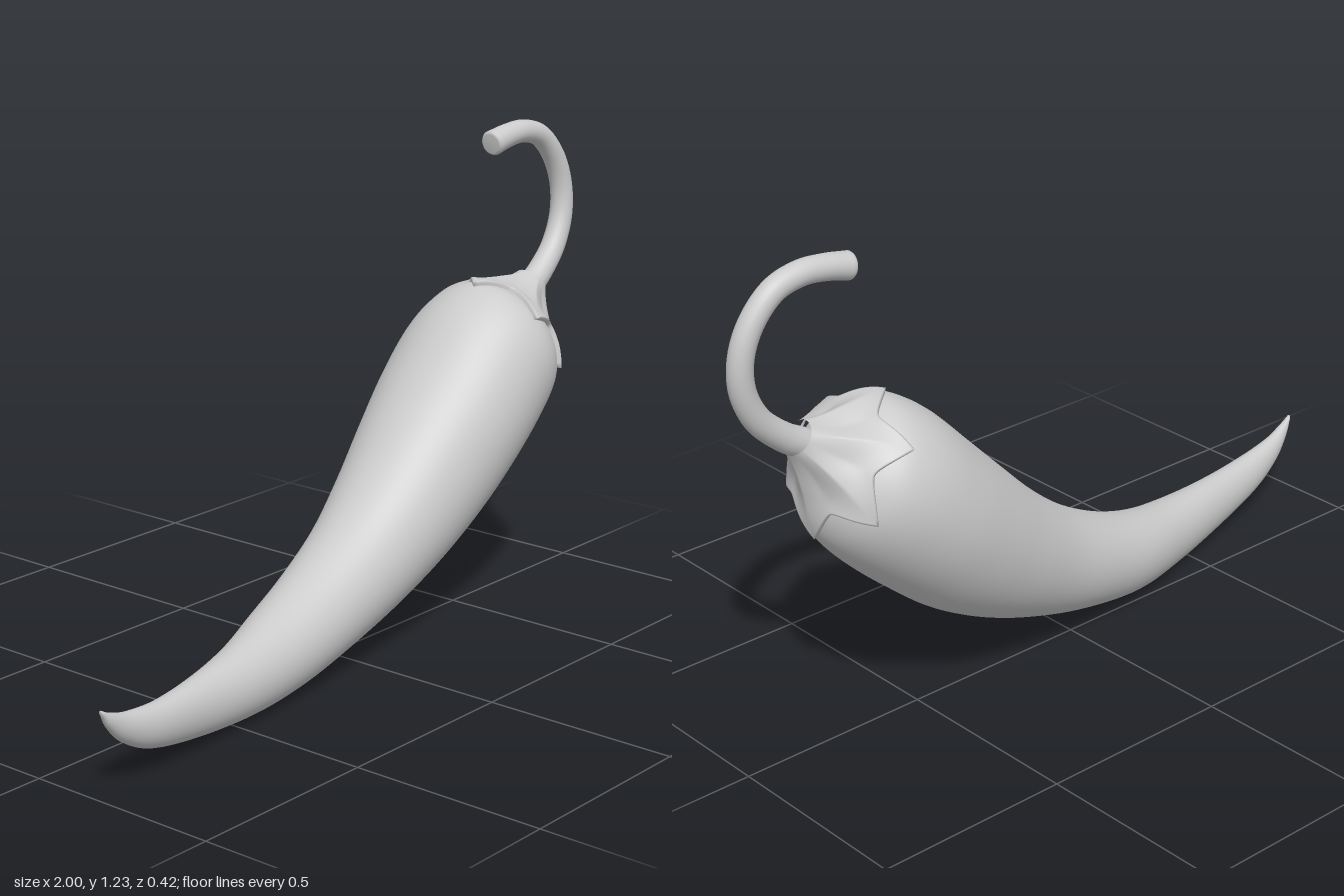
import * as THREE from 'three';

const V = (x, y, z = 0) => new THREE.Vector3(x, y, z);
const TAU = Math.PI * 2;

// Sections from tip to crown: upper x, y, lower x, y, back z, front z
const sections = [
  [-1.0, 0.217, -0.998, 0.203, 0.192, 0.204],
  [-0.965, 0.2, -0.975, 0.165, 0.178, 0.207],
  [-0.9, 0.18, -0.92, 0.113, 0.155, 0.207],
  [-0.78, 0.166, -0.82, 0.063, 0.125, 0.205],
  [-0.62, 0.168, -0.64, 0.025, 0.08, 0.19],
  [-0.45, 0.182, -0.43, 0.005, 0.02, 0.18],
  [-0.3, 0.212, -0.23, 0.01, -0.04, 0.167],
  [-0.15, 0.265, -0.03, 0.047, -0.08, 0.16],
  [0.0, 0.345, 0.15, 0.1, -0.115, 0.165],
  [0.13, 0.445, 0.32, 0.17, -0.155, 0.177],
  [0.25, 0.56, 0.47, 0.255, -0.19, 0.19],
  [0.36, 0.67, 0.59, 0.35, -0.212, 0.203],
  [0.46, 0.77, 0.69, 0.44, -0.213, 0.205],
  [0.54, 0.825, 0.755, 0.515, -0.195, 0.195],
  [0.6, 0.84, 0.783, 0.58, -0.16, 0.16],
  [0.66, 0.82, 0.785, 0.65, -0.105, 0.105],
  [0.72, 0.77, 0.77, 0.71, -0.04, 0.04],
];
const LAST = sections.length - 1;
const track = (a, b) => new THREE.CatmullRomCurve3(
  sections.map((s) => V(s[a], s[b])), false, 'catmullrom', 0.5);
const upper = track(0, 1), lower = track(2, 3), sides = track(4, 5);

// Point on the fruit: t counts sections, angle starts at the upper edge
function skin(t, angle, scale = 1) {
  const u = THREE.MathUtils.clamp(t / LAST, 0, 1);
  const a = upper.getPoint(u), b = lower.getPoint(u), z = sides.getPoint(u);
  const c = Math.cos(angle) * scale * 0.5, s = Math.sin(angle) * scale * 0.5;
  return V((a.x + b.x) / 2 + (a.x - b.x) * c,
    (a.y + b.y) / 2 + (a.y - b.y) * c,
    (z.x + z.y) / 2 + (z.y - z.x) * s);
}

function skinNormal(t, angle) {
  const e = 0.02;
  const around = skin(t, angle + e).sub(skin(t, angle - e));
  const along = skin(t + e, angle).sub(skin(t - e, angle));
  return around.cross(along).normalize();
}

// Smooth surface through closed rings; point(i, angle) gives each vertex
function loft(name, rows, cols, point) {
  const pos = [], index = [];
  for (let i = 0; i < rows; i++) {
    for (let j = 0; j < cols; j++) {
      pos.push(...point(i, (j / cols) * TAU).toArray());
      if (i === rows - 1) continue;
      const k = (j + 1) % cols;
      const a = i * cols + j, b = i * cols + k;
      index.push(a, b, b + cols, a, b + cols, a + cols);
    }
  }
  const geo = new THREE.BufferGeometry();
  geo.setAttribute('position', new THREE.Float32BufferAttribute(pos, 3));
  geo.setIndex(index);
  geo.computeVertexNormals();
  const mesh = new THREE.Mesh(geo, new THREE.MeshStandardMaterial({ color: 0xcccccc, roughness: 0.6 }));
  mesh.name = name;
  return mesh;
}

function makeFruit() {
  const steps = LAST * 6;
  return loft('fruit', steps + 3, 64, (i, angle) => {
    const closed = i === 0 || i === steps + 2;
    return skin((i - 1) / 6, angle, closed ? 0 : 1);
  });
}

// Six-pointed cap that follows the crown and sweeps up into the stem
function makeCalyx() {
  const rows = 30, axis = V(0.74, 0.67).normalize();
  return loft('calyx', rows, 144, (i, angle) => {
    const f = (angle / TAU) * 6;
    const k = 1 - 2 * Math.abs(f - Math.round(f));
    const edge = 14.5 - 1.05 * Math.pow(k, 1.6);
    const u = Math.max(0, (i - 2) / (rows - 3));
    const t = THREE.MathUtils.lerp(edge, LAST - 0.05, u);
    const offset = i === 0 ? -0.012 : i === 1 ? 0.006 : 0.013;
    return skin(t, angle)
      .addScaledVector(skinNormal(t, angle), offset * (1 - u * 0.9))
      .addScaledVector(axis, 0.1 * Math.pow(u, 2.6));
  });
}

// Hooked stem with a blunt, slightly rounded end
function makeStem() {
  const path = new THREE.CatmullRomCurve3([
    V(0.74, 0.735), V(0.8, 0.785), V(0.855, 0.82, -0.002), V(0.925, 0.885, -0.006),
    V(0.963, 0.965, -0.01), V(0.966, 1.045, -0.015), V(0.938, 1.12, -0.02),
    V(0.88, 1.182, -0.025), V(0.81, 1.203, -0.028), V(0.745, 1.2, -0.03), V(0.683, 1.188, -0.032),
  ]);
  const steps = 72, zAxis = V(0, 0, 1);
  const capRadius = [0.9, 0.75, 0], capShift = [0.005, 0.007, 0.007];
  return loft('stem', steps + 4, 24, (i, angle) => {
    const u = Math.min(1, i / steps);
    const dir = path.getTangent(u);
    const out = zAxis.clone().cross(dir).normalize();
    const side = dir.clone().cross(out);
    let r = 0.029 + 0.012 * Math.pow(1 - u, 4) + 0.004 * Math.pow(u, 8);
    const center = path.getPoint(u);
    if (i > steps) {
      r *= capRadius[i - steps - 1];
      center.addScaledVector(dir, capShift[i - steps - 1]);
    }
    return center.addScaledVector(out, Math.cos(angle) * r)
      .addScaledVector(side, Math.sin(angle) * r);
  });
}

export function createModel() {
  const group = new THREE.Group();
  group.name = 'chiliPepper';
  group.add(makeFruit(), makeCalyx(), makeStem());
  return group;
}
